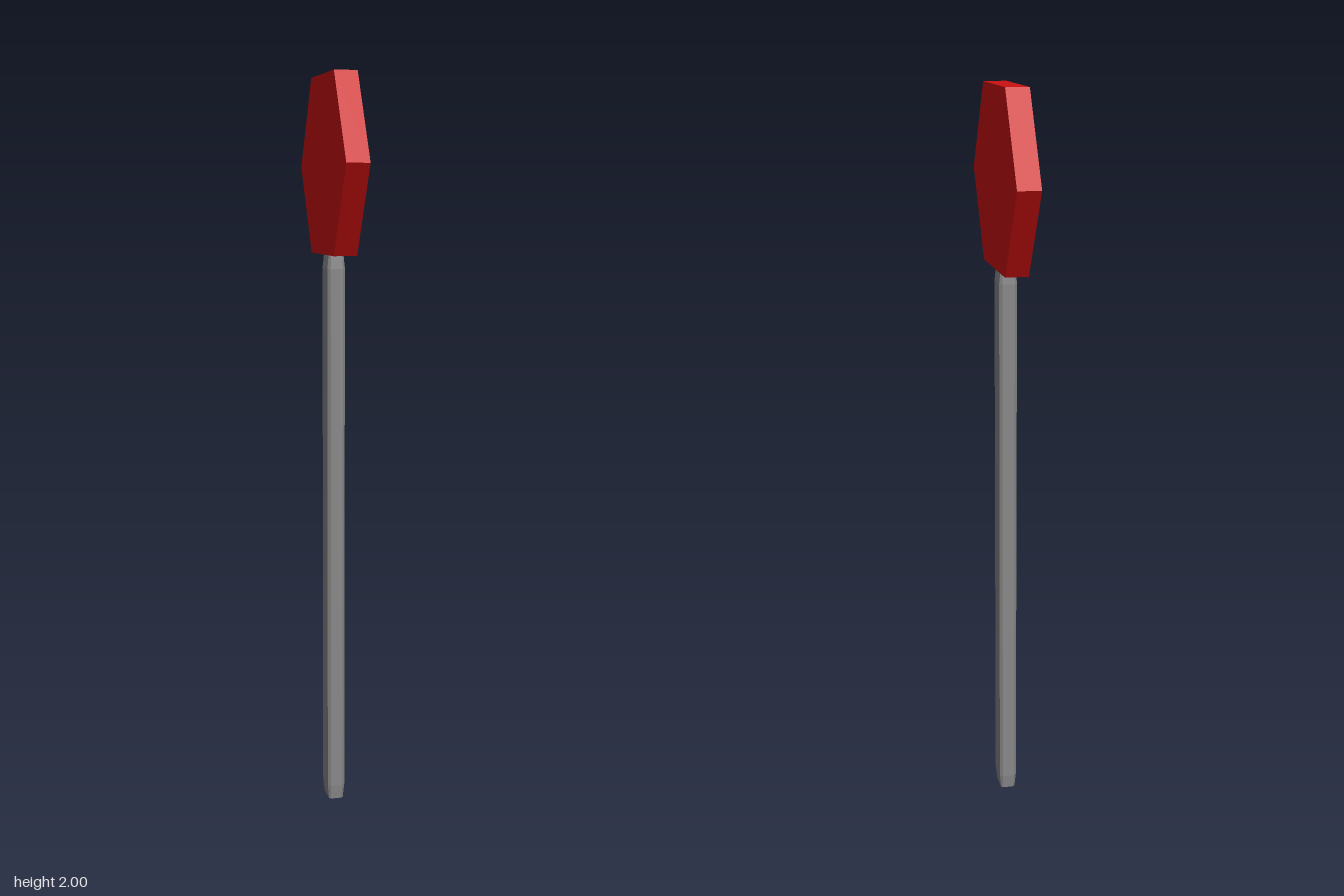
import * as THREE from 'three';

const red = new THREE.MeshStandardMaterial({ color: 0xcc1111, flatShading: true });
const grey = new THREE.MeshStandardMaterial({ color: 0x888888, flatShading: true });

// Rectangle with its corners cut off
function chamferedRect(halfW, halfH, cut) {
  const s = new THREE.Shape();
  s.moveTo(halfW, -halfH + cut);
  s.lineTo(halfW, halfH - cut);
  s.lineTo(halfW - cut, halfH);
  s.lineTo(-halfW + cut, halfH);
  s.lineTo(-halfW, halfH - cut);
  s.lineTo(-halfW, -halfH + cut);
  s.lineTo(-halfW + cut, -halfH);
  s.lineTo(halfW - cut, -halfH);
  s.closePath();
  return s;
}

export function createModel() {
  const group = new THREE.Group();

  // Post: upright bar, slightly narrowed at both ends
  const height = 1.535, taper = 0.04, inset = 0.004;
  const postGeo = new THREE.ExtrudeGeometry(chamferedRect(0.02, 0.033, 0.005), {
    depth: height - 2 * taper,
    bevelEnabled: true,
    bevelThickness: taper,
    bevelSize: inset,
    bevelSegments: 1,
  });
  postGeo.rotateX(-Math.PI / 2).translate(0, taper, 0);
  const post = new THREE.Mesh(postGeo, grey);
  post.name = 'post';
  group.add(post);

  // Sign plate: hexagonal slab facing sideways, with a grey underside
  const signGeo = new THREE.CylinderGeometry(0.27, 0.27, 0.062, 6);
  signGeo.rotateZ(-Math.PI / 2);
  signGeo.clearGroups();
  signGeo.addGroup(0, 6, 0);
  signGeo.addGroup(6, 6, 1); // the side that points down
  signGeo.addGroup(12, signGeo.index.count - 12, 0);
  const sign = new THREE.Mesh(signGeo, [red, grey]);
  sign.name = 'signPlate';
  sign.position.y = 2 - 0.27 * Math.sin(Math.PI / 3);
  group.add(sign);

  return group;
}
